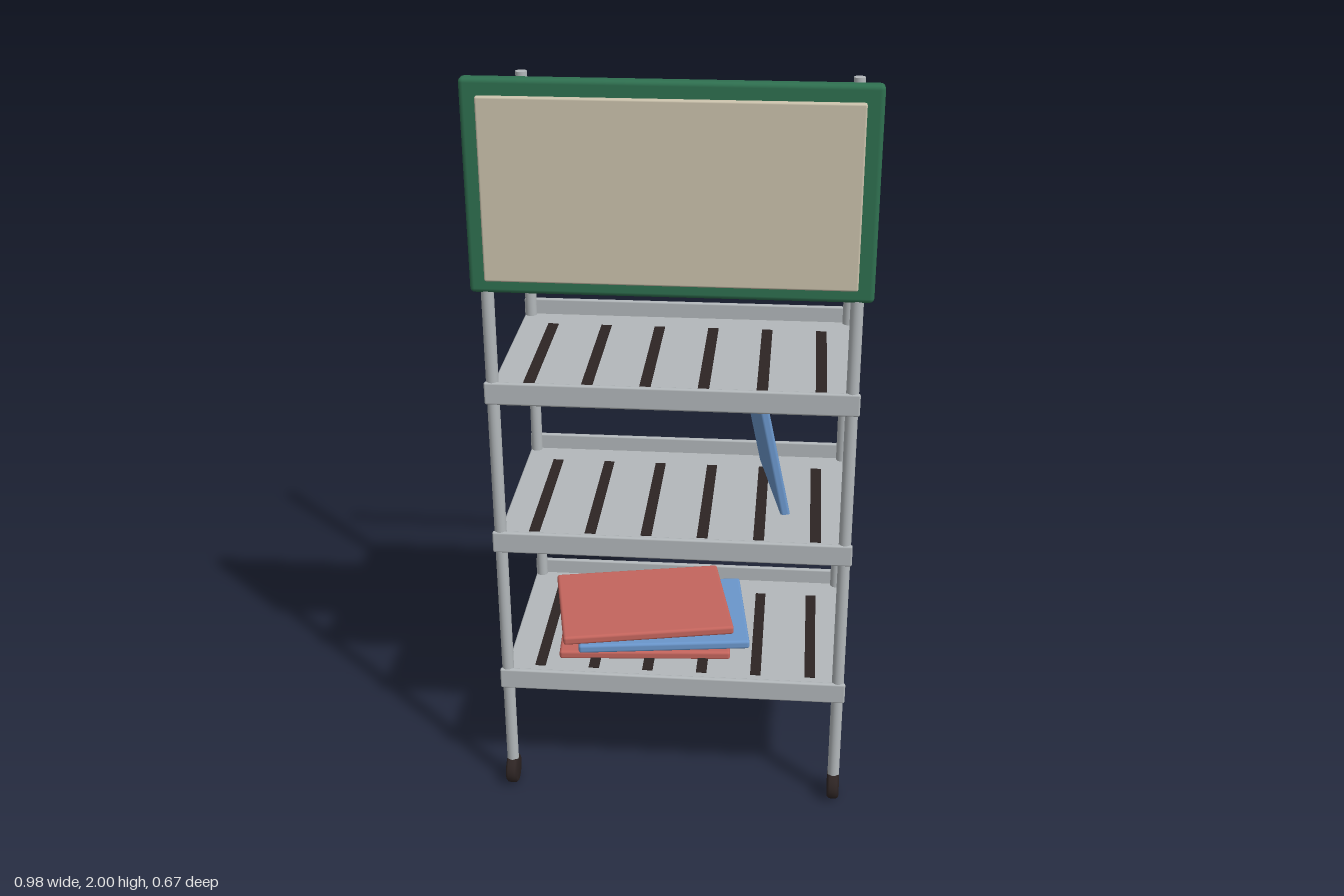
import * as THREE from 'three';
import { RoundedBoxGeometry } from 'three/addons/geometries/RoundedBoxGeometry.js';

const mat = (name, color) => {
  const m = new THREE.MeshStandardMaterial({ color });
  m.name = name;
  return m;
};

export function createModel() {
  const root = new THREE.Group();
  root.name = 'bookTrolley';
  const metal = mat('greyMetal', 0xb3b8bb);
  const dark = mat('darkRubber', 0x2d2423);
  const green = mat('greenFrame', 0x2f7050);
  const cream = mat('creamPanel', 0xccc3ad);
  const blue = mat('blueCover', 0x6a96cb);
  const red = mat('redCover', 0xc4655d);

  const add = (name, geometry, material, x, y, z, parent = root) => {
    const mesh = new THREE.Mesh(geometry, material);
    mesh.name = name;
    mesh.position.set(x, y, z);
    parent.add(mesh);
    return mesh;
  };
  const box = (w, h, d, r) => new RoundedBoxGeometry(w, h, d, 2, r);

  // Four posts, each on a wheel; the back pair is taller
  const frontZ = 0.293, backZ = -0.287;
  for (const x of [-0.45, 0.45]) {
    for (const [side, z, top] of [['front', frontZ, 1.55], ['back', backZ, 1.885]]) {
      const h = top - 0.05;
      add(side + 'Post', new THREE.CylinderGeometry(0.016, 0.016, h, 20), metal, x, 0.05 + h / 2, z);
      const wheel = new THREE.LatheGeometry(
        [[0, -0.016], [0.035, -0.016], [0.041, -0.01], [0.041, 0.01], [0.035, 0.016], [0, 0.016]]
          .map(([r, y]) => new THREE.Vector2(r, y)), 24);
      wheel.rotateZ(Math.PI / 2);
      add(side + 'Wheel', wheel, dark, x, 0.041, z);
    }
  }

  // Three shelves with raised front and back lips and dark slots
  for (const y of [0.328, 0.755, 1.182]) {
    const shelf = new THREE.Group();
    shelf.name = 'shelf';
    shelf.position.y = y;
    root.add(shelf);
    add('shelfPlate', box(0.936, 0.018, 0.606, 0.005), metal, 0, 0, 0.003, shelf);
    for (const z of [0.304, -0.299]) {
      add('shelfLip', box(0.94, 0.06, 0.014, 0.005), metal, 0, 0.024, z, shelf);
    }
    for (let i = 0; i < 6; i++) {
      add('slot', new THREE.BoxGeometry(0.029, 0.004, 0.43), dark, -0.375 + i * 0.15, 0.0095, 0.001, shelf);
    }
  }

  // Push handle at the back
  const handle = new THREE.CapsuleGeometry(0.0135, 0.726, 4, 16);
  handle.rotateZ(Math.PI / 2);
  add('handle', handle, metal, 0, 1.553, -0.32);

  // Sign board with a cream panel on the front
  add('signFrame', box(0.98, 0.525, 0.038, 0.012), green, 0, 1.7375, frontZ);
  add('signPanel', box(0.9, 0.45, 0.022, 0.005), cream, 0, 1.735, 0.315);

  // Stack of books on the bottom shelf
  const stack = [
    ['bottomBook', red, -0.1, 0.346, -0.015, 0.07],
    ['middleBook', blue, -0.055, 0.376, -0.015, 0.13],
    ['topBook', red, -0.11, 0.407, -0.019, 0.2],
  ];
  for (const [name, material, x, y, z, yaw] of stack) {
    add(name, box(0.48, 0.026, 0.35, 0.008), material, x, y, z).rotation.y = yaw;
  }

  // Book leaning on the middle shelf
  add('leaningBook', box(0.026, 0.484, 0.35, 0.008), blue, 0.231, 0.9, -0.098).rotation.set(0, 0.2, 0.205);

  return root;
}
